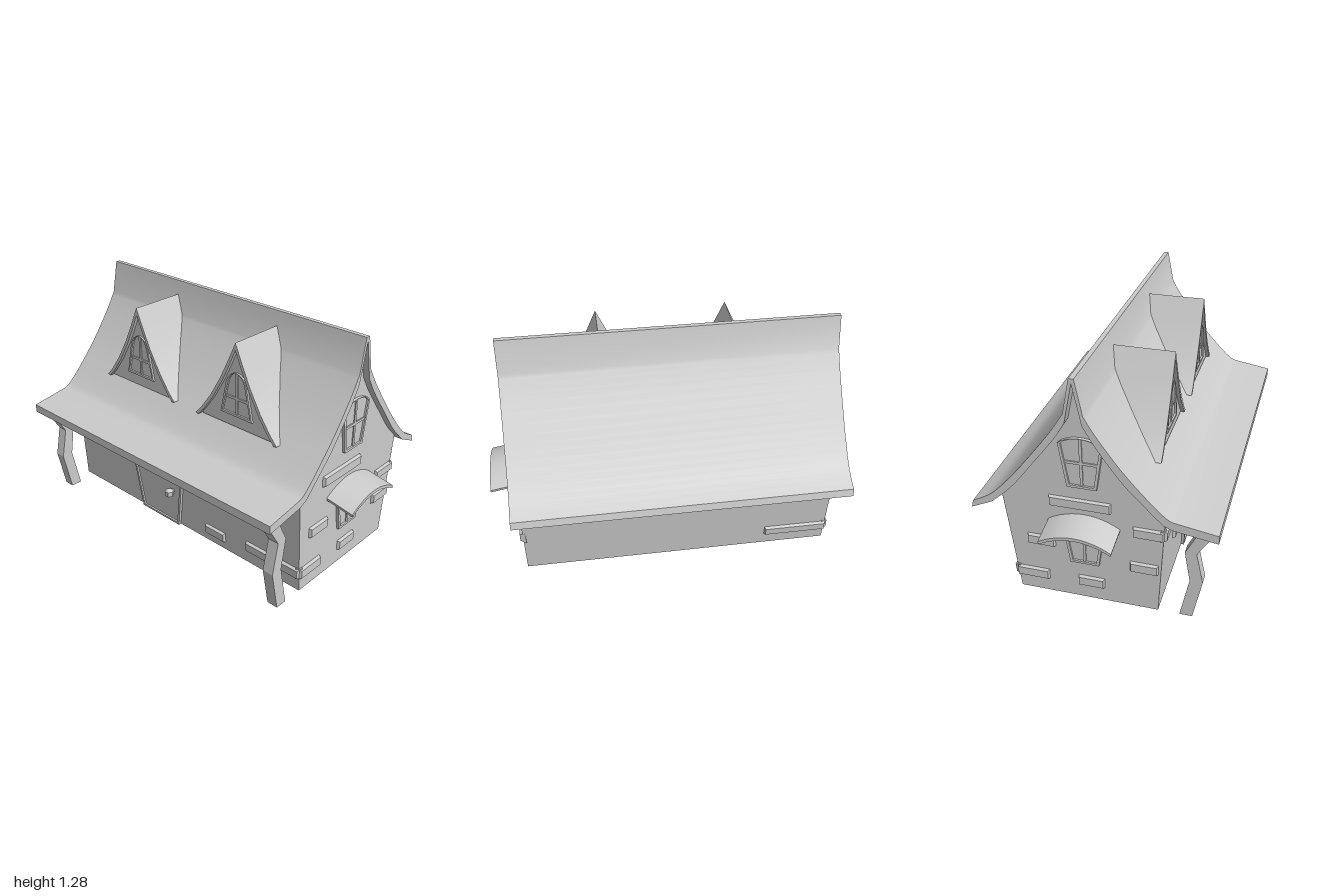
import * as THREE from 'three';
import { toCreasedNormals } from 'three/addons/utils/BufferGeometryUtils.js';

const material = new THREE.MeshStandardMaterial({ color: 0xcccccc, side: THREE.DoubleSide });
const END_X = 0.845; // gable walls at +-END_X
const vectors = (list) => list.map(([x, y]) => new THREE.Vector2(x, y));

function add(parent, name, geometry, x = 0, y = 0, z = 0) {
  const mesh = new THREE.Mesh(geometry, material);
  mesh.name = name;
  mesh.position.set(x, y, z);
  parent.add(mesh);
  return mesh;
}

function extrude(shape, depth, curveSegments = 8) {
  return new THREE.ExtrudeGeometry(shape, { depth, bevelEnabled: false, curveSegments });
}

// Extrudes a (z, y) profile along x, centred on x = 0
function extrudeAlongX(shape, width, curveSegments) {
  const g = extrude(shape, width, curveSegments).translate(0, 0, -width / 2).rotateY(-Math.PI / 2);
  return toCreasedNormals(g, 0.6);
}

// Roof curves as [z, y], from eave side up to the ridge
const frontSlope = [[0.4, 0.6], [0.36, 0.622], [0.275, 0.705], [0.156, 0.84], [0.04, 1.0], [-0.02, 1.1]];
const backSlope = [[-0.115, 1.1], [-0.185, 0.99], [-0.3, 0.835], [-0.4, 0.71], [-0.505, 0.6], [-0.607, 0.54]];
const underBack = [[-0.475, 0.58], [-0.385, 0.67], [-0.27, 0.82], [-0.165, 0.96], [-0.11, 1.05]];
const underFront = [[-0.027, 1.05], [0.037, 0.94], [0.156, 0.775], [0.26, 0.665], [0.35, 0.575]];

function roofShape() {
  const s = new THREE.Shape();
  s.moveTo(0.615, 0.565);
  s.lineTo(...frontSlope[0]);
  s.splineThru(vectors(frontSlope.slice(1)));
  s.lineTo(-0.055, 1.28);
  s.lineTo(-0.08, 1.28);
  s.lineTo(...backSlope[0]);
  s.splineThru(vectors(backSlope.slice(1)));
  s.lineTo(-0.617, 0.5);
  s.lineTo(-0.505, 0.553);
  s.lineTo(...underBack[0]);
  s.splineThru(vectors(underBack.slice(1)));
  s.lineTo(-0.068, 1.255);
  s.lineTo(...underFront[0]);
  s.splineThru(vectors(underFront.slice(1)));
  s.lineTo(0.393, 0.555);
  s.lineTo(0.615, 0.52);
  return s;
}

// z of the front roof surface at height y
function roofZ(y) {
  const pts = [...frontSlope, [-0.055, 1.28]];
  for (let i = 1; i < pts.length; i++) {
    const [z0, y0] = pts[i - 1], [z1, y1] = pts[i];
    if (y <= y1) return z0 + ((z1 - z0) * (y - y0)) / (y1 - y0);
  }
  return -0.055;
}

// Tapered opening with an arched top; k = 1 gives a half ellipse, less a flat arch
function archPath(Type, bottom, top, h, arch, k, y0 = 0) {
  const p = new Type();
  p.moveTo(-bottom, y0);
  p.lineTo(bottom, y0);
  p.lineTo(top, y0 + h);
  p.bezierCurveTo(top * k, y0 + h + arch * 4 / 3, -top * k, y0 + h + arch * 4 / 3, -top, y0 + h);
  p.closePath();
  return p;
}

// Frame with a recessed panel, optionally with crossing glazing bars
function framedOpening(parent, name, [bottom, top, h, arch, k], x, y, z, bars) {
  const t = 0.013, group = new THREE.Group();
  group.name = name;
  group.position.set(x, y, z);
  const outline = archPath(THREE.Shape, bottom, top, h, arch, k);
  const inner = [bottom - t, top - t, h - t, arch - t * 0.2, k, t];
  outline.holes.push(archPath(THREE.Path, ...inner));
  add(group, name + 'Frame', extrude(outline, 0.016));
  add(group, name + 'Panel', extrude(archPath(THREE.Shape, ...inner), 0.006));
  if (bars) {
    const midY = h * 0.58, midW = bottom + (top - bottom) * 0.58;
    add(group, 'uprightBar', new THREE.BoxGeometry(0.014, h + arch - t, 0.012), 0, (h + arch) / 2, 0.006);
    add(group, 'crossBar', new THREE.BoxGeometry(midW * 2 - t, 0.014, 0.012), 0, midY, 0.006);
  }
  parent.add(group);
}

// Bricks with chamfered faces, given as [x0, x1, y0, y1] on a wall
function addBricks(wall, list) {
  for (const [x0, x1, y0, y1] of list) {
    const g = new THREE.BoxGeometry(x1 - x0, y1 - y0, 0.032);
    const p = g.attributes.position;
    for (let i = 0; i < p.count; i++) {
      if (p.getZ(i) < 0) continue;
      p.setX(i, p.getX(i) - Math.sign(p.getX(i)) * 0.012);
      p.setY(i, p.getY(i) - Math.sign(p.getY(i)) * 0.012);
    }
    g.computeVertexNormals();
    add(wall, 'brick', g, (x0 + x1) / 2, (y0 + y1) / 2, 0);
  }
}

// A wall frame whose local +z faces outward, leaning by the given angle
function wallGroup(parent, name, x, z, turn, lean = 0) {
  const wall = new THREE.Group();
  wall.name = name;
  wall.position.set(x, 0, z);
  wall.rotation.set(lean, turn, 0, 'YXZ');
  parent.add(wall);
  return wall;
}

// Gable wall with two windows and a curved awning; side is +1 or -1
function addGable(parent, side, bricks) {
  const wall = wallGroup(parent, side > 0 ? 'leftGable' : 'rightGable', side * END_X, 0, side * Math.PI / 2);
  const outline = [[0.32, 0], ...[...underFront].reverse(), [-0.068, 1.255],
    ...[...underBack].reverse(), [-0.41, 0]].map(([z, y]) => [-side * z, y]);
  add(wall, 'gableWall', new THREE.ShapeGeometry(new THREE.Shape(vectors(outline))));
  const x = side * 0.055, size = [0.074, 0.109, 0.235, 0.038, 0.6];
  framedOpening(wall, 'lowerWindow', size, x, 0.227, 0, true);
  framedOpening(wall, 'upperWindow', size, x, 0.682, 0, true);
  addBricks(wall, bricks);

  const s = new THREE.Shape();
  s.moveTo(-0.183, 0.465);
  s.quadraticCurveTo(0, 0.575, 0.183, 0.465);
  s.lineTo(0.18, 0.45);
  s.quadraticCurveTo(0, 0.555, -0.18, 0.45);
  const g = extrude(s, 0.155, 12);
  const p = g.attributes.position;
  for (let i = 0; i < p.count; i++) p.setY(i, p.getY(i) - p.getZ(i) * 0.18);
  g.computeVertexNormals();
  add(wall, 'awning', toCreasedNormals(g, 0.6), x, 0, 0);
}

// Flared dormer whose back edge follows the main roof
function addDormer(parent, x) {
  const dormer = new THREE.Group();
  dormer.name = 'dormer';
  dormer.position.x = x;
  const outer = [[0.275, 0.735], [0.235, 0.78], [0.17, 0.87], [0.1, 0.99], [0.05, 1.095], [0, 1.205]];
  const inner = [[0.257, 0.73], [0.22, 0.77], [0.155, 0.86], [0.085, 0.98], [0.035, 1.085], [0, 1.165]];
  const mirror = (list) => list.slice(0, -1).reverse().map(([a, b]) => [-a, b]);
  const shell = [...outer, ...mirror(outer), ...mirror(inner).reverse(), ...[...inner].reverse()];
  const g = extrude(new THREE.Shape(vectors(shell)), 1);
  const p = g.attributes.position;
  for (let i = 0; i < p.count; i++) p.setZ(i, p.getZ(i) > 0.5 ? 0.275 : roofZ(p.getY(i)) - 0.015);
  g.computeVertexNormals();
  add(dormer, 'dormerRoof', toCreasedNormals(g, 0.5));
  const face = [[0.243, 0.745], ...inner.slice(1), ...mirror(inner).slice(0, -1), [-0.243, 0.745]];
  add(dormer, 'dormerFace', new THREE.ShapeGeometry(new THREE.Shape(vectors(face))), 0, 0, 0.255);
  const base = new THREE.BoxGeometry(0.486, 0.012, 0.06);
  add(dormer, 'dormerSill', base, 0, 0.742, 0.225);
  framedOpening(dormer, 'dormerWindow', [0.105, 0.07, 0.17, 0.07, 0.75], 0, 0.8, 0.25, true);
  parent.add(dormer);
}

export function createModel() {
  const house = new THREE.Group();
  house.name = 'cottage';
  add(house, 'roof', extrudeAlongX(roofShape(), 1.78, 3), -0.01);

  // Leaning long walls
  const front = wallGroup(house, 'frontWall', 0, 0.32, 0, Math.atan(0.03 / 0.575));
  const back = wallGroup(house, 'backWall', 0, -0.41, Math.PI, Math.atan(0.065 / 0.575));
  for (const wall of [front, back]) {
    add(wall, 'wallPanel', new THREE.PlaneGeometry(END_X * 2, 0.578), 0, 0.289, 0);
  }
  addBricks(front, [[-0.855, -0.505, 0.433, 0.503], [-0.62, -0.465, 0.275, 0.343], [0.425, 0.58, 0.422, 0.49],
    [0.195, 0.35, 0.045, 0.113], [0.49, 0.855, 0.073, 0.143]]);
  addBricks(back, [[-0.855, -0.51, 0.37, 0.435], [0.49, 0.855, 0.073, 0.143]]);

  // Door and knob
  framedOpening(front, 'door', [0.15, 0.198, 0.33, 0.18, 1], -0.157, 0, 0, false);
  add(front, 'doorKnob', new THREE.SphereGeometry(0.029, 6, 3).toNonIndexed(), -0.043, 0.22, 0.038)
    .geometry.computeVertexNormals();
  add(front, 'knobStem', new THREE.CylinderGeometry(0.01, 0.01, 0.035, 6).rotateX(Math.PI / 2), -0.043, 0.22, 0.016);

  addGable(house, 1, [[-0.18, 0.145, 0.545, 0.615], [-0.27, -0.113, 0.29, 0.36], [0.29, 0.445, 0.22, 0.29],
    [-0.01, 0.14, 0.075, 0.145], [-0.335, -0.155, 0.073, 0.143], [0.3, 0.468, 0.37, 0.435]]);
  addGable(house, -1, [[-0.235, 0.09, 0.545, 0.615], [-0.36, -0.203, 0.29, 0.36], [0.17, 0.325, 0.22, 0.29],
    [-0.1, 0.05, 0.075, 0.145], [-0.43, -0.245, 0.073, 0.143], [0.185, 0.355, 0.433, 0.503]]);

  // Crooked porch posts
  const post = [[0.59, 0.53], [0.52, 0.54], [0.447, 0.393], [0.475, 0.225], [0.43, 0], [0.495, 0], [0.54, 0.225], [0.505, 0.393]];
  for (const side of [-1, 1]) {
    const g = extrudeAlongX(new THREE.Shape(vectors(post)), 0.06);
    g.computeVertexNormals();
    add(house, 'porchPost', g, side * 0.815);
  }

  for (const side of [-1, 1]) addDormer(house, side * 0.357);
  return house;
}
